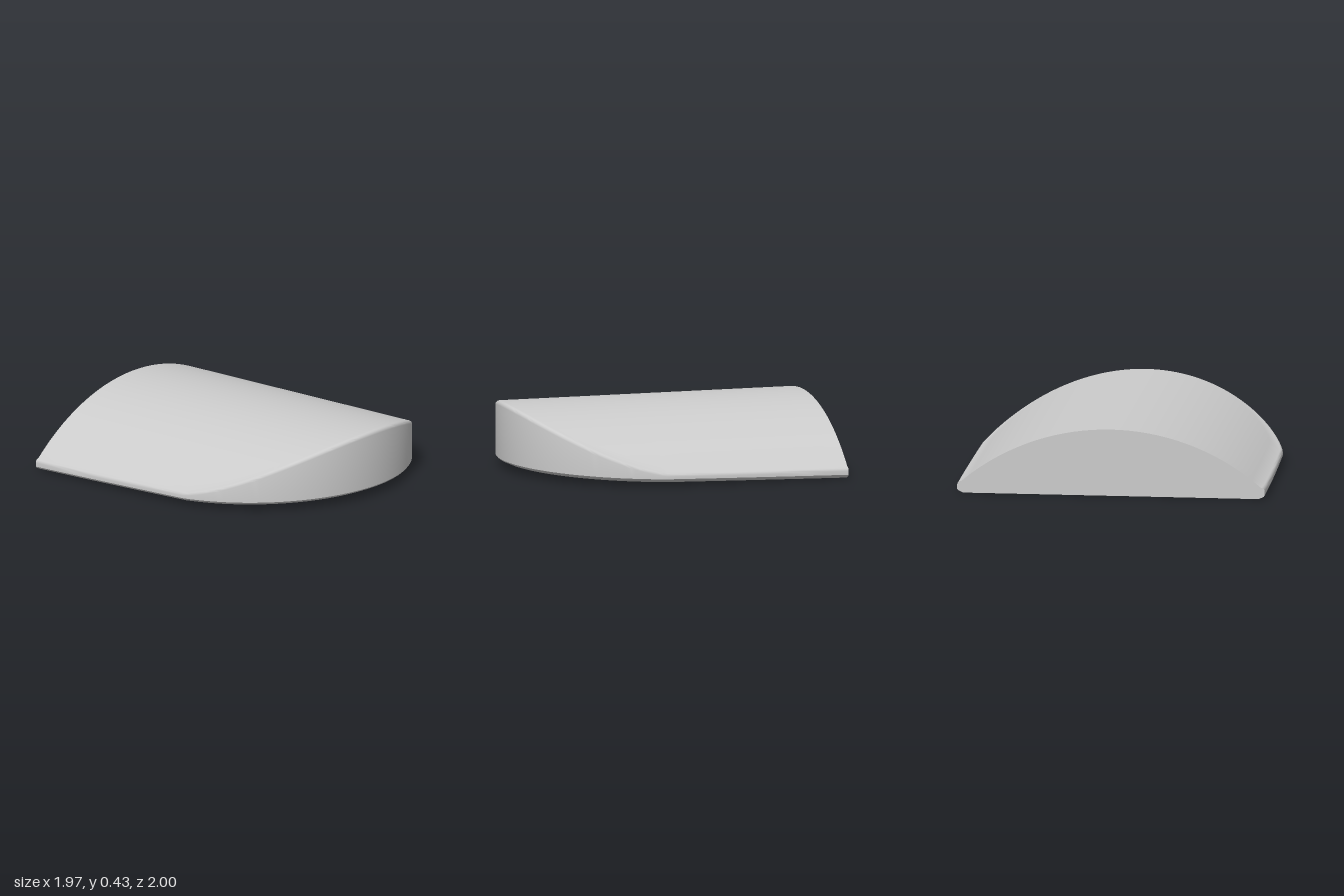
import * as THREE from 'three';
import { toCreasedNormals } from 'three/addons/utils/BufferGeometryUtils.js';

const ARCH_R = 1.473, HEIGHT = 0.43;   // arched top
const NOSE_R = 0.982, NOSE_Z = 0.018;  // round front in plan
const ROUND = 0.025;                   // rounded upper edge

const topY = (x) => HEIGHT - ARCH_R + Math.sqrt(ARCH_R * ARCH_R - x * x);
const bottomY = (z) => 0.02 * (z + 1); // underside rises towards the front

// Plan outline of the +x half, from the back corner to the front tip
function outline() {
  const stations = [];
  for (let i = 0; i < 8; i++) {
    const t = i / 8;
    stations.push({ x: 0.985 - 0.02 * t * t, z: -1 + 1.2 * t, nx: 1, nz: 0 });
  }
  const start = Math.atan2(0.965, 0.2 - NOSE_Z);
  for (let i = 0; i <= 40; i++) {
    const a = start * (1 - i / 40), nx = Math.sin(a), nz = Math.cos(a);
    stations.push({ x: NOSE_R * nx, z: NOSE_Z + NOSE_R * nz, nx, nz });
  }
  return stations;
}

// Closed cross-section: up the +x edge, over the arch, down the -x edge
function section({ x, z, nx, nz }) {
  const inset = (d) => [x - d * nx, z - d * nz];
  const side = [];
  for (const [d, rise] of [[0.04, 0], [0.008, 0.014], [0, 0.024]]) {
    const [px, pz] = inset(d);
    side.push([px, bottomY(z) + rise, pz]);
  }
  const [ex, ez] = inset(ROUND);
  for (let k = 0; k <= 4; k++) {
    const a = (k / 4) * Math.PI / 2;
    const [px, pz] = inset(ROUND * (1 - Math.cos(a)));
    side.push([px, topY(ex) - ROUND * (1 - Math.sin(a)), pz]);
  }
  const arch = [];
  for (let k = 1; k < 32; k++) {
    const px = ex * (1 - k / 16);
    arch.push([px, topY(px), ez]);
  }
  const mirrored = side.map(([px, py, pz]) => [-px, py, pz]).reverse();
  return [...side, ...arch, ...mirrored];
}

function shellGeometry() {
  const loops = outline().map(section);
  const n = loops[0].length;
  const index = [];
  for (let i = 0; i < loops.length - 1; i++) {
    for (let j = 0; j < n; j++) {
      const k = (j + 1) % n;
      const a = i * n + j, b = i * n + k, c = b + n, d = a + n;
      index.push(a, b, c, a, c, d);
    }
  }
  // Flat back, fanned from the middle of its lower edge
  const points = loops.flat();
  const centre = points.push([0, 0, -1]) - 1;
  for (let j = 0; j < n - 1; j++) index.push(centre, j + 1, j);

  const geometry = new THREE.BufferGeometry();
  geometry.setAttribute('position', new THREE.Float32BufferAttribute(points.flat(), 3));
  geometry.setIndex(index);
  return toCreasedNormals(geometry, 0.6);
}

export function createModel() {
  const group = new THREE.Group();
  group.name = 'archedCover';
  const shell = new THREE.Mesh(shellGeometry(), new THREE.MeshStandardMaterial({ color: 0xcccccc }));
  shell.name = 'shell';
  group.add(shell);
  return group;
}
